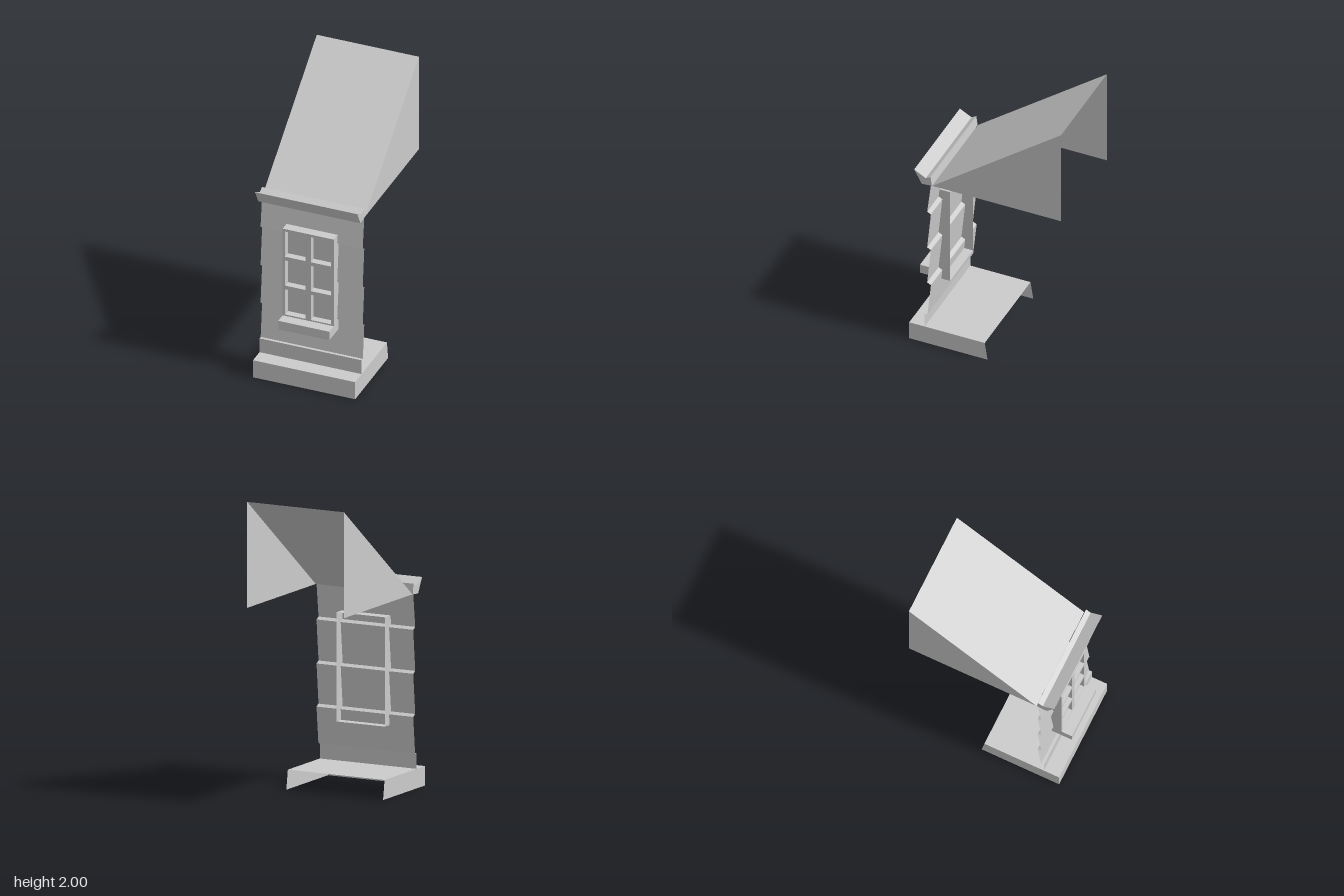
import * as THREE from 'three';

const W = 0.36; // half width of the facade slice
const material = new THREE.MeshStandardMaterial({ color: 0xcccccc, flatShading: true, side: THREE.DoubleSide });

function add(group, name, geometry) {
  const mesh = new THREE.Mesh(geometry, material);
  mesh.name = name;
  group.add(mesh);
  return mesh;
}

// Flat polygon fan from [x, y, z] corners, counter-clockwise from outside
function polygons(list) {
  const pos = [];
  for (const c of list)
    for (let i = 1; i < c.length - 1; i++) pos.push(...c[0], ...c[i], ...c[i + 1]);
  const g = new THREE.BufferGeometry();
  g.setAttribute('position', new THREE.Float32BufferAttribute(pos, 3));
  g.computeVertexNormals();
  return g;
}

// Sweep an upward [z, y] profile across the width as an open sheet
function sheet(profile, hw = W) {
  return profile.slice(1).map(([z1, y1], i) => {
    const [z0, y0] = profile[i];
    return [[-hw, y0, z0], [hw, y0, z0], [hw, y1, z1], [-hw, y1, z1]];
  });
}

// Matching side panels from a [z, y] outline
function sides(outline, hw = W) {
  const right = outline.map(([z, y]) => [hw, y, z]);
  const left = outline.map(([z, y]) => [-hw, y, z]).reverse();
  return [right, left];
}

function rect(target, x0, y0, x1, y1) {
  target.moveTo(x0, y0);
  target.lineTo(x1, y0);
  target.lineTo(x1, y1);
  target.lineTo(x0, y1);
  target.closePath();
  return target;
}

function createWindow() {
  const group = new THREE.Group();
  group.name = 'window';
  const hw = 0.18, bottom = 0.41, sillTop = 0.475, top = 1.135;
  const back = 0.33, glass = 0.42, front = 0.47, sillFront = 0.545;

  // Casing around the opening, open at the back
  add(group, 'windowCasing', polygons([
    ...sheet([[back, bottom], [glass, bottom]], hw),
    ...sheet([[glass, top], [back, top]], hw),
    ...sides([[glass, bottom], [back, bottom], [back, top], [glass, top]], hw),
  ]));

  // Sash with six recessed lights
  const sash = rect(new THREE.Shape(), -hw, sillTop, hw, top);
  for (const s of [-1, 1])
    for (const y of [0.485, 0.705, 0.925])
      sash.holes.push(rect(new THREE.Path(), s * 0.09 - 0.072, y, s * 0.09 + 0.072, y + 0.192));
  const frame = new THREE.ExtrudeGeometry(sash, { depth: front - glass, bevelEnabled: false });
  add(group, 'sashFrame', frame.translate(0, 0, glass));

  const pane = new THREE.PlaneGeometry(2 * hw - 0.01, top - sillTop - 0.01);
  add(group, 'windowPanes', pane.translate(0, (top + sillTop) / 2, glass + 0.002));

  const sill = new THREE.BoxGeometry(2 * hw, sillTop - bottom, sillFront - glass);
  add(group, 'windowSill', sill.translate(0, (bottom + sillTop) / 2, (glass + sillFront) / 2));
  return group;
}

export function createModel() {
  const model = new THREE.Group();
  model.name = 'facadeSection';

  // Base step, open below and behind
  add(model, 'baseStep', polygons([
    ...sheet([[0.54, 0], [0.54, 0.13], [0, 0.13]]),
    ...sides([[0.54, 0], [-0.02, 0], [0, 0.13], [0.54, 0.13]]),
  ]));

  // Plinth and overlapping boards in one stepped sheet
  const wall = [[0.43, 0.13], [0.43, 0.235], [0.41, 0.235]];
  for (const y of [0.482, 0.768, 1.06]) wall.push([0.385, y], [0.412, y + 0.015]);
  wall.push([0.385, 1.3]);
  add(model, 'boardedWall', polygons(sheet(wall)));

  model.add(createWindow());

  // Eaves gutter with closed ends
  const gutter = new THREE.Shape([
    [-0.505, 1.39], [-0.45, 1.29], [-0.378, 1.296], [-0.388, 1.365], [-0.422, 1.345],
  ].map(([x, y]) => new THREE.Vector2(x, y)));
  const gutterGeometry = new THREE.ExtrudeGeometry(gutter, { depth: 2 * W, bevelEnabled: false });
  add(model, 'gutter', gutterGeometry.translate(0, 0, -W).rotateY(Math.PI / 2));

  // Roof slope with triangular sides, open below and behind
  add(model, 'roof', polygons([
    ...sheet([[0.375, 1.297], [-0.545, 2]]),
    ...sides([[0.375, 1.297], [-0.545, 1.297], [-0.545, 2]]),
  ]));

  return model;
}
